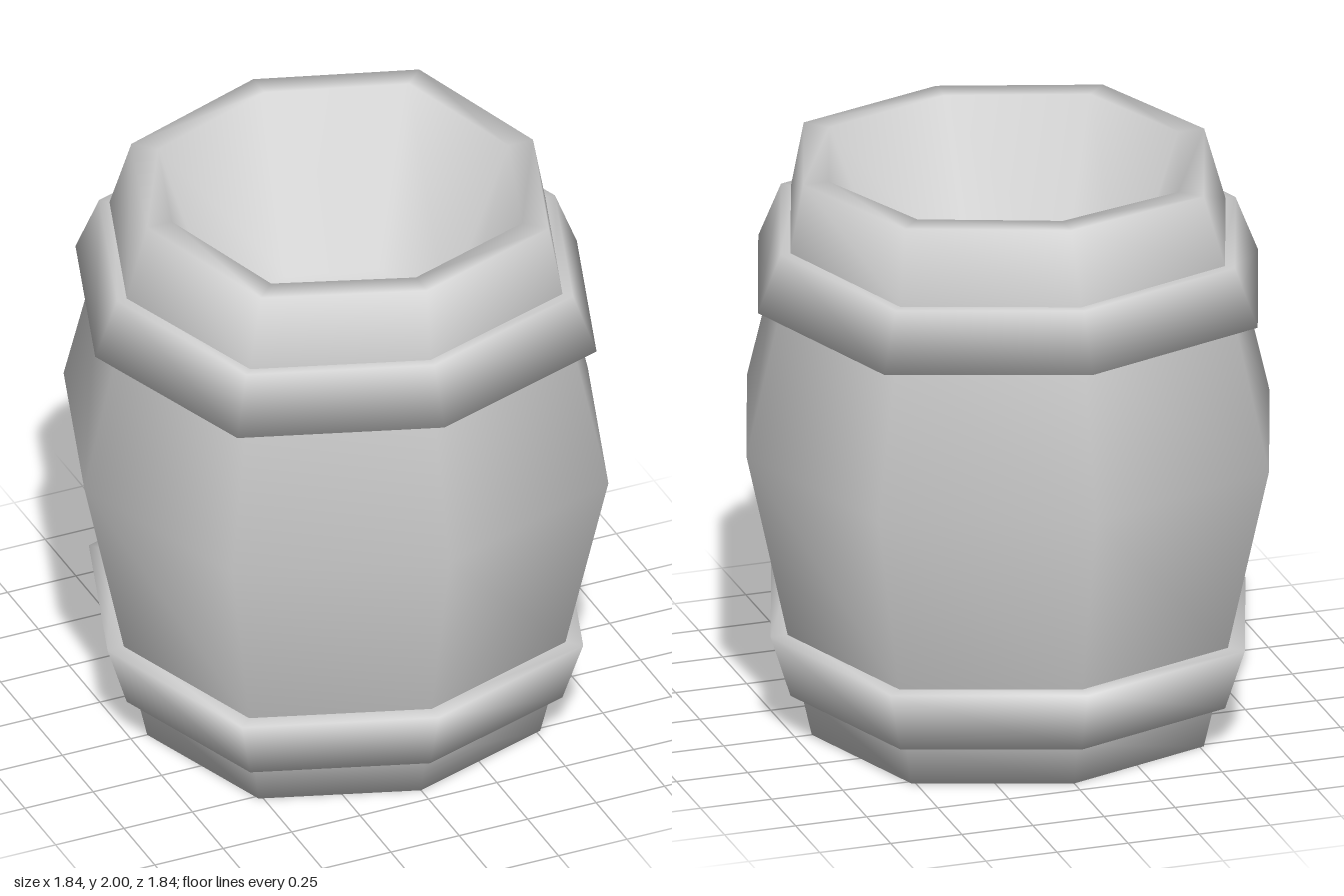
import * as THREE from 'three';

const SIDES = 8;
// Rim heights, starting at the front corner and turning towards +x
const RIM = [1.975, 1.98, 1.98, 2.0, 1.995, 1.98, 2.0, 1.98];
const RIM_Y = 1.98;

// Soft normals of a profile: each point takes the mean of its two segments
function profileNormals(points) {
  const segments = points.slice(1).map((b, i) =>
    new THREE.Vector2(b.y - points[i].y, points[i].x - b.x).normalize());
  return points.map((_, i) => {
    const before = segments[Math.max(i - 1, 0)];
    const after = segments[Math.min(i, segments.length - 1)];
    return before.clone().add(after).normalize();
  });
}

// Eight-sided turned part whose diagonal corners sit slightly further out
function turned(name, profile, material) {
  const points = profile.map(([r, y]) => new THREE.Vector2(r, y));
  const normals = profileNormals(points);
  const geometry = new THREE.LatheGeometry(points, SIDES);
  const { position, normal } = geometry.attributes;
  for (let i = 0; i < position.count; i++) {
    const column = Math.floor(i / points.length);
    const corner = column % SIDES;
    const angle = (column / SIDES) * Math.PI * 2;
    const point = points[i % points.length];
    const n = normals[i % points.length];
    const r = point.x * (corner % 2 ? 1.055 : 1);
    const isRim = point.y === RIM_Y;
    position.setXYZ(i,
      r * Math.sin(angle) + (isRim ? 0.015 : 0),
      isRim ? RIM[corner] : point.y,
      r * Math.cos(angle));
    normal.setXYZ(i, n.x * Math.sin(angle), n.y, n.x * Math.cos(angle));
  }
  const mesh = new THREE.Mesh(geometry, material);
  mesh.name = name;
  return mesh;
}

export function createModel() {
  const group = new THREE.Group();
  group.name = 'barrel';
  const material = new THREE.MeshStandardMaterial({ color: 0xcccccc });

  // Base, bulging staves, flat lip and tapering hollow
  group.add(turned('staves', [
    [0, 0], [0.69, 0], [0.725, 0.15], [0.775, 0.37], [0.92, 1.03],
    [0.80, 1.54], [0.765, 1.74], [0.705, RIM_Y],
    [0.615, RIM_Y], [0.40, 1.4], [0, 1.4],
  ], material));

  // Flared hoops, closed above and below
  group.add(turned('lowerHoop', [
    [0.71, 0.15], [0.765, 0.15], [0.835, 0.37], [0.76, 0.37],
  ], material));
  group.add(turned('upperHoop', [
    [0.78, 1.54], [0.88, 1.54], [0.80, 1.74], [0.75, 1.74],
  ], material));

  return group;
}
